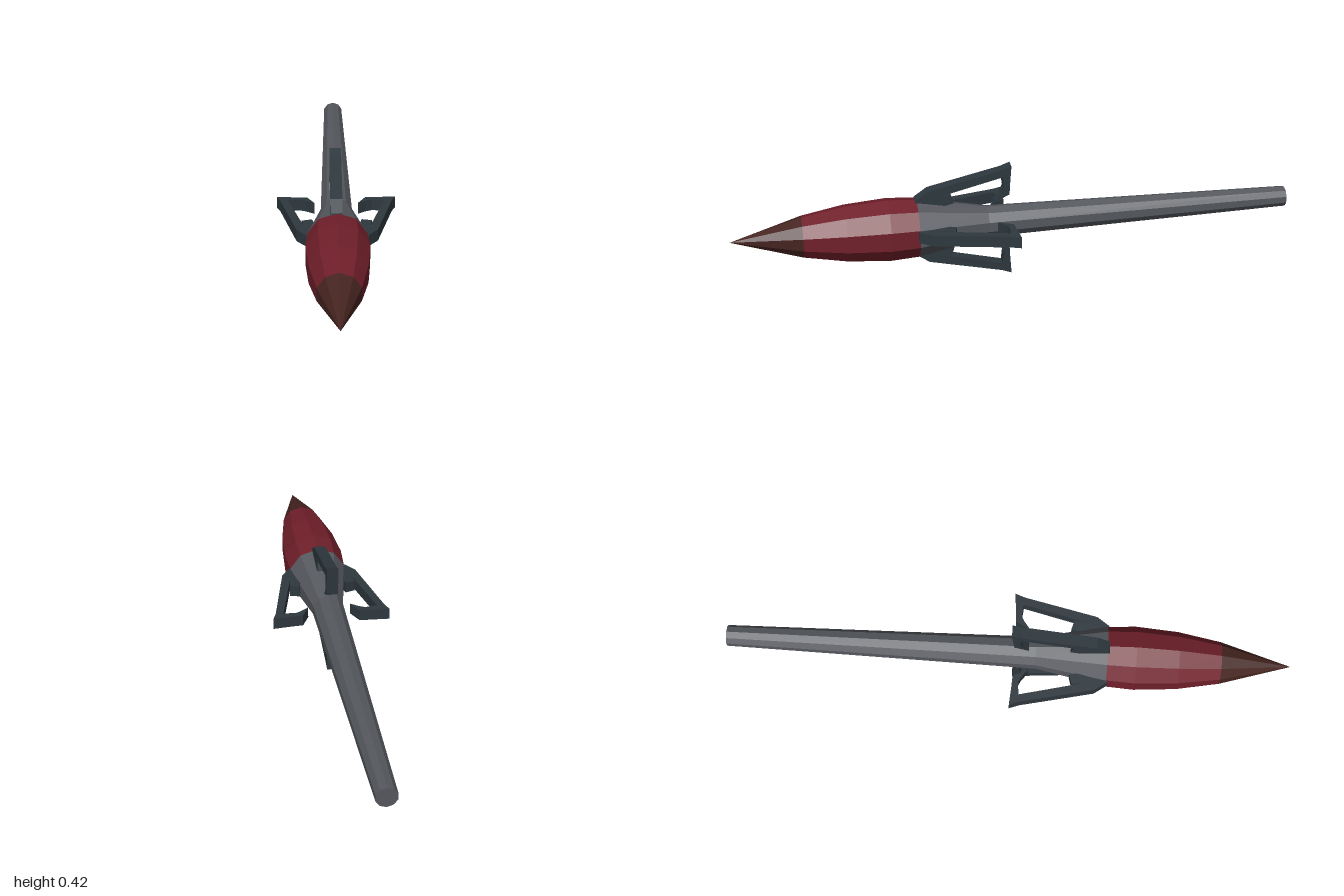
import * as THREE from 'three';

const SIDES = 10;
const CENTRE_Y = 0.206;

function material(name, color) {
  const m = new THREE.MeshStandardMaterial({ color, flatShading: true });
  m.name = name;
  return m;
}

// Faceted body of revolution along z; profile is [radius, z] from back to front
function turned(name, profile, mat) {
  const geo = new THREE.LatheGeometry(profile.map(([r, z]) => new THREE.Vector2(r, z)), SIDES);
  geo.rotateX(Math.PI / 2);
  const mesh = new THREE.Mesh(geo, mat);
  mesh.name = name;
  mesh.position.y = CENTRE_Y;
  return mesh;
}

// Barbed arm outline in (radius, z), extruded to an even thickness
function finGeometry(thickness) {
  const outline = [
    [0.07, 0.36], [0.07, 0.285], [0.085, 0.22], [0.12, 0.23], [0.113, 0.275],
    [0.169, 0.047], [0.125, 0.042], [0.105, 0.052], [0.076, 0.074],
    [0.102, 0.022], [0.14, 0.02], [0.209, 0.015], [0.196, 0.05],
    [0.137, 0.31], [0.105, 0.355],
  ];
  const shape = new THREE.Shape(outline.map(([r, z]) => new THREE.Vector2(r, z)));
  const geo = new THREE.ExtrudeGeometry(shape, { depth: thickness, bevelEnabled: false });
  geo.translate(0, 0, -thickness / 2);
  geo.rotateX(Math.PI / 2);
  return geo;
}

export function createModel() {
  const red = material('dark red', 0x701f2a);
  const tip = material('dark brown', 0x44231f);
  const grey = material('shaft grey', 0x55585e);
  const steel = material('blue black', 0x2e383e);

  const model = new THREE.Group();
  model.name = 'harpoonRocket';

  // Shaft with closed rear end and flared neck
  model.add(turned('shaft', [[0, -1], [0.037, -1], [0.057, 0.1], [0.106, 0.35]], grey));
  // Swollen warhead and pointed nose
  model.add(turned('warhead', [[0.106, 0.35], [0.112, 0.45], [0.101, 0.6], [0.074, 0.75]], red));
  model.add(turned('noseCone', [[0.074, 0.75], [0, 1]], tip));

  // Four barbed arms around the neck, set slightly off the axis
  const geo = finGeometry(0.041);
  ['leftArm', 'topArm', 'rightArm', 'bottomArm'].forEach((name, i) => {
    const arm = new THREE.Mesh(geo, steel);
    arm.name = name;
    arm.rotation.z = (i * Math.PI) / 2;
    arm.position.set(i % 2 ? -0.003 : 0, i % 2 ? 0.209 : 0.215, 0);
    model.add(arm);
  });

  return model;
}
